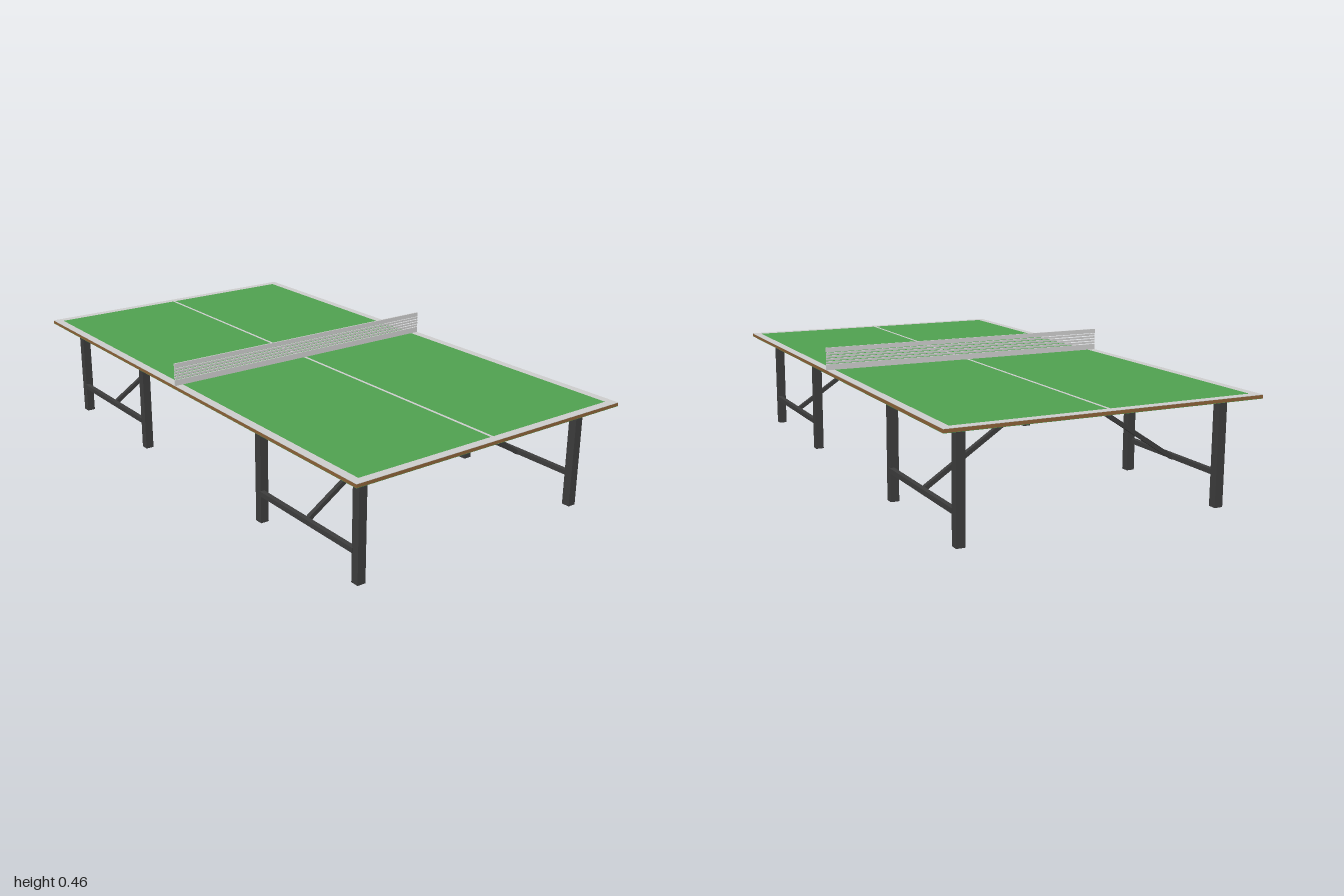
import * as THREE from 'three';

const paint = (color) => new THREE.MeshStandardMaterial({ color });
const GREY = new THREE.MeshStandardMaterial({ color: 0xcccccc });
const GREEN = paint(0x4fa04f);
const WOOD = paint(0x8b6238);
const STEEL = paint(0x3c3c3c);

function box(parent, name, size, position, material) {
  const mesh = new THREE.Mesh(new THREE.BoxGeometry(...size), material);
  mesh.name = name;
  mesh.position.set(...position);
  parent.add(mesh);
  return mesh;
}

function rectangle(PathType, halfX, halfZ) {
  const path = new PathType();
  path.moveTo(-halfX, -halfZ);
  path.lineTo(halfX, -halfZ);
  path.lineTo(halfX, halfZ);
  path.lineTo(-halfX, halfZ);
  path.closePath();
  return path;
}

function createTop() {
  const top = new THREE.Group();
  top.name = 'tableTop';
  // Wooden board with green playing surface and underside
  box(top, 'board', [2, 0.011, 1.1], [0, 0.3733, 0], WOOD);
  box(top, 'playingSurface', [1.942, 0.001, 1.042], [0, 0.3793, 0], GREEN);
  box(top, 'underside', [2, 0.001, 1.1], [0, 0.3673, 0], GREEN);

  // Border line as a frame around the playing surface
  const frame = rectangle(THREE.Shape, 1, 0.55);
  frame.holes.push(rectangle(THREE.Path, 0.97, 0.52));
  const geometry = new THREE.ExtrudeGeometry(frame, { depth: 0.0012, bevelEnabled: false });
  geometry.rotateX(-Math.PI / 2);
  const border = new THREE.Mesh(geometry, GREY);
  border.name = 'borderLine';
  border.position.y = 0.3788;
  top.add(border);

  // Centre line, showing above and below
  box(top, 'centreLine', [1.95, 0.001, 0.01], [0, 0.3797, 0], GREY);
  box(top, 'centreLineBelow', [2, 0.001, 0.006], [0, 0.3669, 0], GREY);
  return top;
}

function createNet() {
  const net = new THREE.Group();
  net.name = 'net';
  // Solid bands at top and bottom with thin strips between
  box(net, 'topBand', [0.005, 0.016, 1.1], [0, 0.452, 0], GREY);
  box(net, 'bottomBand', [0.005, 0.021, 1.1], [0, 0.3905, 0], GREY);
  for (let i = 0; i < 4; i++) {
    box(net, 'netStrip', [0.005, 0.007, 1.1], [0, 0.4075 + i * 0.0102, 0], GREY);
  }
  return net;
}

// Two legs joined by a stretcher, with a brace rising to the table's middle
function createLegFrame(sx, sz) {
  const frame = new THREE.Group();
  frame.name = 'legFrame';
  for (const x of [0.395, 0.905]) {
    box(frame, 'leg', [0.03, 0.368, 0.03], [sx * x, 0.184, sz * 0.46], STEEL);
  }
  box(frame, 'stretcher', [0.49, 0.017, 0.017], [sx * 0.65, 0.108, sz * 0.4695], STEEL);

  const foot = new THREE.Vector3(sx * 0.65, 0.104, sz * 0.465);
  const head = new THREE.Vector3(sx * 0.65, 0.366, sz * 0.066);
  const centre = foot.clone().add(head).multiplyScalar(0.5);
  const brace = box(frame, 'brace', [0.015, 0.015, foot.distanceTo(head)], centre.toArray(), STEEL);
  brace.lookAt(head);
  return frame;
}

export function createModel() {
  const table = new THREE.Group();
  table.name = 'tableTennisTable';
  table.add(createTop(), createNet());
  for (const sx of [-1, 1]) {
    for (const sz of [-1, 1]) table.add(createLegFrame(sx, sz));
  }
  return table;
}
